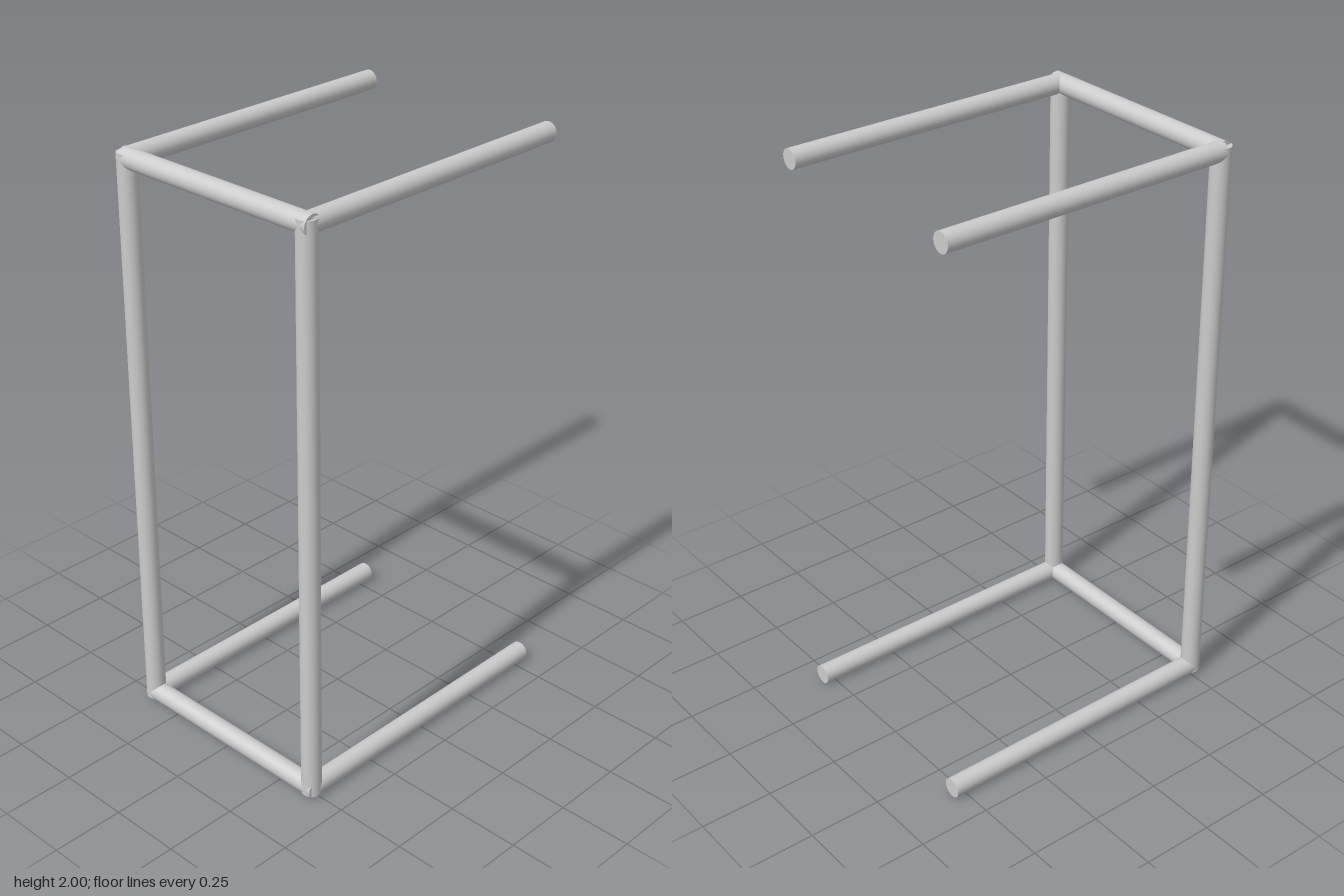
import * as THREE from 'three';

const R = 0.0335;               // tube radius
const X = 0.377, Z = 0.5095;    // post axes
const LOW = R, HIGH = 2 - R;    // rail heights

export function createModel() {
  const group = new THREE.Group();
  const material = new THREE.MeshStandardMaterial({ color: 0xcccccc });

  // Closed round bar between two points
  function bar(name, from, to) {
    const a = new THREE.Vector3(...from), b = new THREE.Vector3(...to);
    const dir = b.clone().sub(a);
    const mesh = new THREE.Mesh(new THREE.CylinderGeometry(R, R, dir.length(), 24), material);
    mesh.position.copy(a).add(b).multiplyScalar(0.5);
    mesh.quaternion.setFromUnitVectors(new THREE.Vector3(0, 1, 0), dir.normalize());
    mesh.name = name;
    group.add(mesh);
  }

  // Upright posts, ending just past the rail axes
  for (const [side, x] of [['left', X], ['right', -X]]) {
    bar(side + 'Post', [x, 0.015, Z], [x, 1.985, Z]);
  }

  // Front cross rails and the arms reaching back
  for (const [level, y] of [['lower', LOW], ['upper', HIGH]]) {
    bar(level + 'FrontRail', [-0.387, y, Z], [0.4, y, Z]);
    for (const [side, x] of [['Left', X], ['Right', -X]]) {
      bar(level + side + 'Arm', [x, y, Z], [x, y, -0.543]);
    }
  }
  return group;
}
